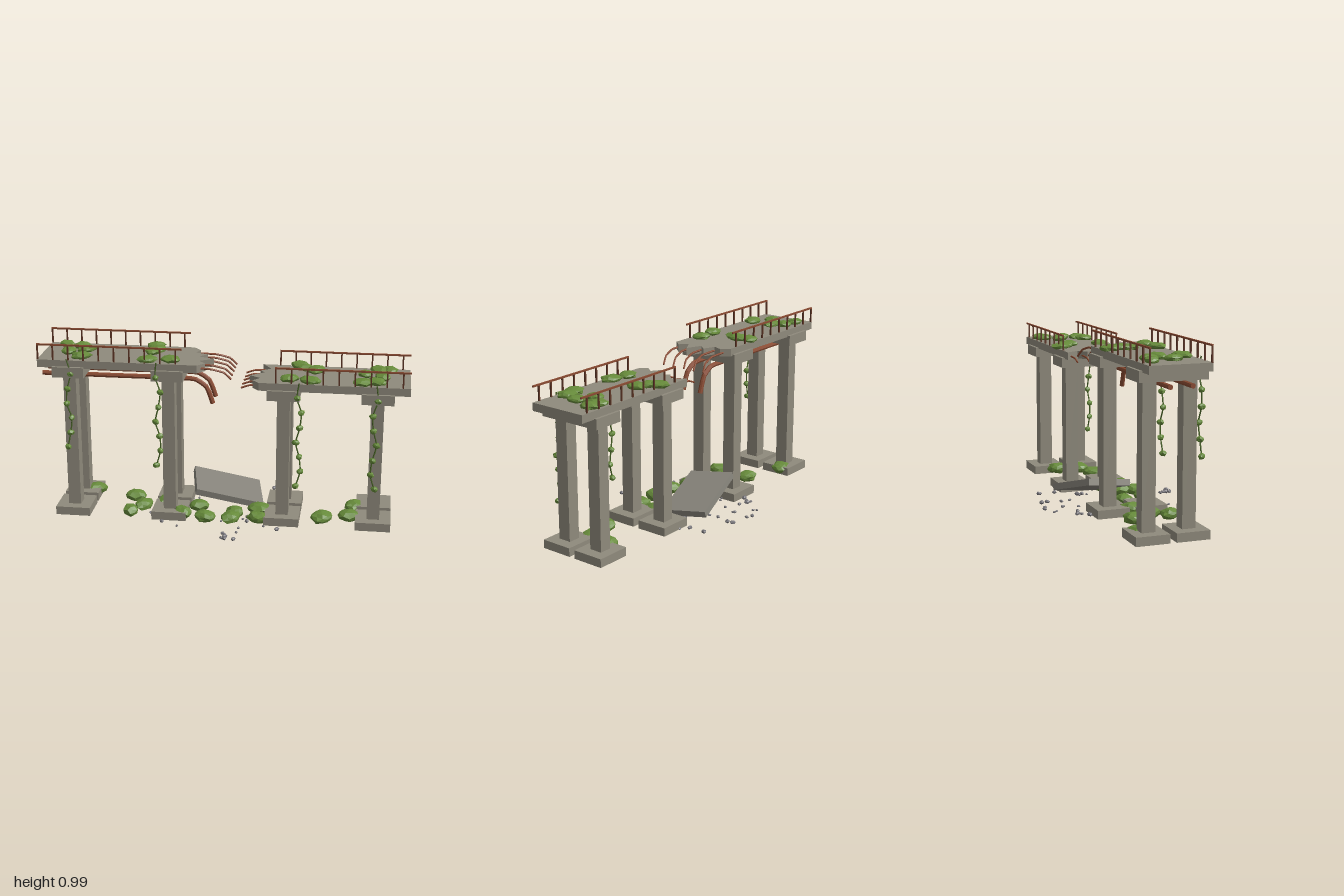
import * as THREE from 'three';

const mat = (color) => new THREE.MeshStandardMaterial({ color, flatShading: true });
const concrete = mat(0x8f8a7c), slabGrey = mat(0x86837a), rust = mat(0x8a4b32), railRust = mat(0x5e3626);
const leaf = mat(0x668a3a), stem = mat(0x4a6428), stone = mat(0x77757a);

// Small seeded generator, returns 0..1
let seed = 7;
const rand = () => {
  seed = (seed * 16807) % 2147483647;
  return seed / 2147483647;
};
const vec = (x, y, z) => new THREE.Vector3(x, y, z);

function add(parent, name, geometry, material, x = 0, y = 0, z = 0) {
  const mesh = new THREE.Mesh(geometry, material);
  mesh.name = name;
  mesh.position.set(x, y, z);
  parent.add(mesh);
  return mesh;
}

function group(parent, name) {
  const g = new THREE.Group();
  g.name = name;
  parent.add(g);
  return g;
}

// Faceted blob: an icosahedron whose corners are pushed in and out by a rule
function blob(detail, phase) {
  const geo = new THREE.IcosahedronGeometry(1, detail);
  const p = geo.attributes.position;
  for (let i = 0; i < p.count; i++) {
    const v = vec(p.getX(i), p.getY(i), p.getZ(i));
    v.multiplyScalar(1 + 0.14 * Math.sin(v.x * 5 + phase) * Math.cos(v.z * 4 + v.y * 3 - phase));
    p.setXYZ(i, v.x, v.y, v.z);
  }
  geo.computeVertexNormals();
  return geo;
}
const bushShapes = [0.4, 1.7, 3.1, 4.6].map((phase) => blob(1, phase));
const rockShape = blob(0, 1);

function scatter(parent, name, geo, material, x, y, z, sx, sy, sz) {
  const m = add(parent, name, geo, material, x, y, z);
  m.scale.set(sx, sy, sz);
  m.rotation.y = rand() * 6.28;
}

// Bent rod with straight runs between its points
function rod(parent, name, points, radius, material, sides = 6) {
  const path = new THREE.CurvePath();
  for (let i = 1; i < points.length; i++) path.add(new THREE.LineCurve3(points[i - 1], points[i]));
  const curve = new THREE.CatmullRomCurve3(points, false, 'catmullrom', 0.15);
  add(parent, name, new THREE.TubeGeometry(points.length > 2 ? curve : path, points.length * 6, radius, sides), material);
  // Closed ends
  [[points[0], points[1]], [points.at(-1), points.at(-2)]].forEach(([end, inner]) => {
    const cap = add(parent, name + 'End', new THREE.CircleGeometry(radius, sides), material, end.x, end.y, end.z);
    cap.lookAt(end.clone().multiplyScalar(2).sub(inner));
  });
}

// Deck plate from an outline of [x, z] points
function deck(parent, outline, bottom, thickness) {
  const shape = new THREE.Shape(outline.map(([x, z]) => new THREE.Vector2(x, -z)));
  const geo = new THREE.ExtrudeGeometry(shape, { depth: thickness, bevelEnabled: false });
  geo.rotateX(-Math.PI / 2);
  add(parent, 'deck', geo, concrete, 0, bottom, 0);
}

// Two columns on footings, joined by a cap beam
function pier(parent, x, capBottom, capTop) {
  const g = group(parent, 'pier');
  add(g, 'capBeam', new THREE.BoxGeometry(0.173, capTop - capBottom, 0.364), concrete, x, (capBottom + capTop) / 2, 0);
  for (const s of [-1, 1]) {
    add(g, 'column', new THREE.BoxGeometry(0.069, capBottom - 0.05, 0.073), concrete, x, (capBottom + 0.05) / 2, s * 0.108);
    add(g, 'footing', new THREE.BoxGeometry(0.192, 0.047, 0.18), concrete, x, 0.035, s * 0.108);
  }
}

function railing(parent, x0, x1, base, postStart) {
  for (const z of [-0.16, 0.16]) {
    const g = group(parent, 'railing');
    add(g, 'topRail', new THREE.BoxGeometry(x1 - x0, 0.009, 0.009), rust, (x0 + x1) / 2, base + 0.083, z);
    for (let x = postStart; x <= x1 + 0.001; x += 0.0835)
      add(g, 'post', new THREE.BoxGeometry(0.008, 0.085, 0.008), railRust, x, base + 0.04, z);
  }
}

function bushes(parent, spots, y, r, h) {
  spots.forEach(([x, z], i) => {
    const k = 0.85 + rand() * 0.3;
    scatter(parent, 'bush', bushShapes[i % 4], leaf, x, y, z, r * k, h, r * k * 0.82);
  });
}

// Hanging stem with leaf clumps
function vine(parent, x, top, bottom) {
  const g = group(parent, 'vine');
  const points = [];
  const wobble = (i) => Math.sin(i * 1.9 + x * 8) * 0.014;
  const n = Math.round((top - bottom) / 0.0835);
  for (let i = 0; i <= n; i++) {
    const y = top - i * 0.0835, px = x + wobble(i), pz = 0.178 + wobble(i + 2) * 0.3;
    points.push(vec(px, y, pz));
    if (i > 0) scatter(g, 'leafClump', bushShapes[i % 4], leaf, px, y, pz, 0.021, 0.016, 0.016);
  }
  add(g, 'stem', new THREE.TubeGeometry(new THREE.CatmullRomCurve3(points), n * 4, 0.004, 5), stem);
}

export function createModel() {
  seed = 7;
  const model = new THREE.Group();
  model.name = 'ruinedBridge';

  // High span and low span, each with a jagged broken end
  const high = group(model, 'highSpan'), low = group(model, 'lowSpan');
  deck(high, [[-1, -0.166], [-0.19, -0.166], [-0.15, -0.12], [-0.17, -0.07], [-0.1, -0.045], [-0.14, 0],
    [-0.055, 0.035], [-0.13, 0.08], [-0.09, 0.12], [-0.13, 0.166], [-1, 0.166]], 0.862, 0.043);
  deck(low, [[1, -0.166], [1, 0.166], [0.2, 0.166], [0.165, 0.125], [0.2, 0.08], [0.14, 0.04],
    [0.215, -0.02], [0.19, -0.05], [0.245, -0.09], [0.195, -0.166]], 0.78, 0.043);
  for (const x of [-0.83, -0.29]) pier(high, x, 0.812, 0.87);
  for (const x of [0.333, 0.832]) pier(low, x, 0.73, 0.785);
  railing(high, -1, -0.21, 0.905, -0.996);
  railing(low, 0.287, 1, 0.823, 0.291);

  // Twin pipes under the high span, bent down at the break
  for (const z of [0.061, -0.056])
    rod(high, 'pipe', [vec(-1, 0.798, z), vec(-0.6, 0.798, z), vec(-0.165, 0.798, z), vec(-0.09, 0.752, z),
      vec(-0.058, 0.662, z)], 0.0135, rust, 8);

  // Exposed reinforcing rods at both broken ends
  for (const z of [0.14, 0.073, 0, -0.067, -0.132])
    rod(high, 'reinforcingRod', [vec(-0.2, 0.884, z), vec(-0.06, 0.88, z), vec(0.01, 0.86, z - 0.012),
      vec(0.048, 0.82, z - 0.026)], 0.0055, rust);
  for (const z of [0.125, 0.06, -0.01, -0.07, -0.14])
    rod(low, 'reinforcingRod', [vec(0.28, 0.8, z), vec(0.15, 0.795, z), vec(0.103, 0.778, z)], 0.005, rust);

  // Fallen slab, leaning from its high edge to its low edge
  const corner = vec(-0.2, 0.19, -0.18);
  const along = vec(0.365, -0.103, -0.085), across = vec(0.058, -0.037, 0.254);
  const up = across.clone().cross(along).normalize();
  const slab = add(model, 'fallenSlab', new THREE.BoxGeometry(along.length(), 0.036, across.length()), slabGrey);
  const side = along.clone().normalize().cross(up);
  slab.quaternion.setFromRotationMatrix(new THREE.Matrix4().makeBasis(along.clone().normalize(), up, side));
  slab.position.copy(corner).addScaledVector(along, 0.5).addScaledVector(across, 0.5).addScaledVector(up, -0.018);

  // Growth on the decks and on the ground
  bushes(high, [[-0.9, -0.11], [-0.81, -0.09], [-0.77, -0.03], [-0.86, 0.02], [-0.77, 0.1],
    [-0.4, -0.14], [-0.38, -0.075], [-0.4, -0.03], [-0.4, 0.12], [-0.28, 0.105]], 0.917, 0.052, 0.02);
  bushes(low, [[0.4, -0.14], [0.43, -0.1], [0.49, -0.065], [0.36, 0.1], [0.47, 0.12], [0.89, -0.115],
    [0.83, -0.11], [0.76, -0.03], [0.85, 0.01], [0.75, 0.12], [0.82, 0.1]], 0.835, 0.052, 0.02);
  bushes(model, [[-0.51, 0.155], [-0.52, -0.055], [-0.45, 0.067], [-0.77, -0.125], [-0.22, 0.14], [-0.09, 0.18],
    [0.055, 0.18], [0.07, 0.105], [0.2, 0.16], [-0.14, 0.04], [-0.33, 0.01], [0.2, 0.04], [0.55, 0.11],
    [0.7, 0.07], [0.72, -0.06]], 0.043, 0.06, 0.032);

  // Vines down the front
  vine(high, -0.83, 0.917, 0.415);
  vine(high, -0.34, 0.917, 0.333);
  vine(low, 0.42, 0.835, 0.25);
  vine(low, 0.82, 0.835, 0.25);

  // Rubble spread under the break
  const rubble = group(model, 'rubble');
  for (let i = 0; i < 64; i++) {
    const angle = rand() * 6.28, reach = 0.16 + rand() * 0.26, r = 0.007 + rand() * 0.008;
    scatter(rubble, 'rock', rockShape, stone, Math.cos(angle) * reach, 0.016, Math.sin(angle) * reach, r * 1.2, r * 0.8, r);
  }
  return model;
}
